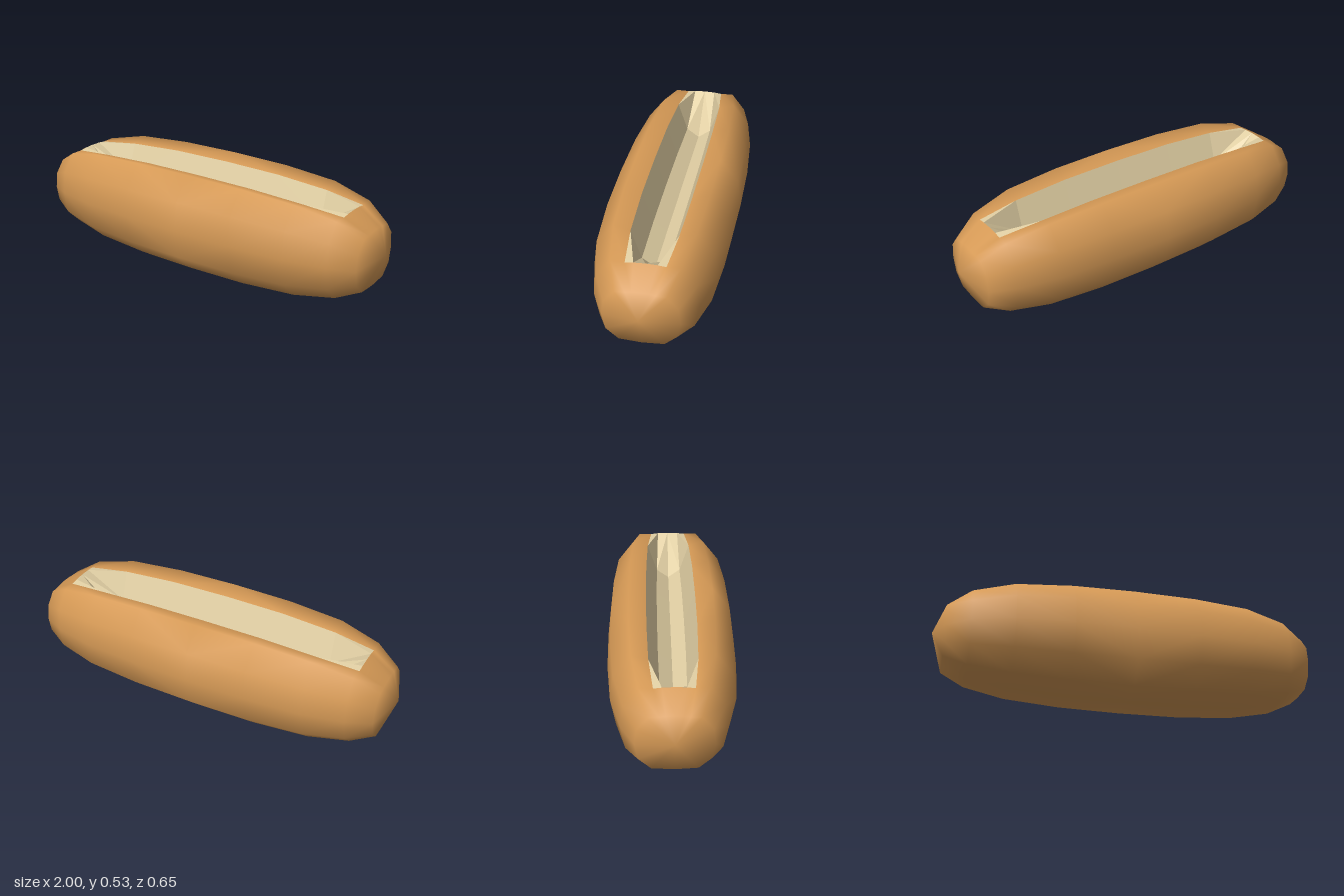
import * as THREE from 'three';

// Half cross-section as [z, y]: lip of the slit, round the side, down to the keel
const HALF = [[0.125, 0.505], [0.213, 0.53], [0.305, 0.412], [0.323, 0.265], [0.295, 0.112], [0.19, 0.013]];
const SLIT = [[-0.07, 0.34], [0, 0.29], [0.07, 0.34]];
const MID_Y = 0.265;

// Stations along half the length: x, width scale, height scale, centre height
const STATIONS = [
  [0, 1, 1, MID_Y], [0.32, 0.985, 0.985, MID_Y], [0.61, 0.92, 0.92, MID_Y],
  [0.82, 0.76, 0.77, 0.26], [0.94, 0.56, 0.53, 0.25],
];
const TIP = [1, 0.285, 0];

const mirror = (pts) => pts.map(([z, y]) => [-z, y]).reverse();

// Ring of points; near the ends the slit closes into a gentle crown
function section([x, w, h, cy]) {
  const scale = ([z, y]) => [z * w, cy + (y - MID_Y) * h];
  const half = HALF.map(scale);
  let slit = SLIT.map(scale);
  if (x > 0.8) {
    const top = x > 0.9 ? 0.4 : 0.47;
    half[0][1] = top - 0.007;
    const gz = 0.073 * w;
    slit = [[-gz, top - 0.002], [0, top], [gz, top - 0.002]];
  }
  return [...half, scale([0, 0]), ...mirror(half), ...slit];
}

function surface(positions, index, material, name) {
  const geometry = new THREE.BufferGeometry();
  geometry.setAttribute('position', new THREE.Float32BufferAttribute(positions, 3));
  geometry.setIndex(index);
  geometry.computeVertexNormals();
  const mesh = new THREE.Mesh(geometry, material);
  mesh.name = name;
  return mesh;
}

export function createModel() {
  const crust = new THREE.MeshStandardMaterial({ color: 0xd59955, side: THREE.DoubleSide });
  crust.name = 'golden crust';
  const crumb = new THREE.MeshStandardMaterial({ color: 0xe2d0a4, side: THREE.DoubleSide, flatShading: true });
  crumb.name = 'cream crumb';

  // Rings from -x to +x
  const stations = [
    ...STATIONS.slice(1).reverse().map(([x, ...rest]) => ({ x: -x, ring: section([x, ...rest]) })),
    ...STATIONS.map((s) => ({ x: s[0], ring: section(s) })),
  ];
  const n = stations[0].ring.length;
  const firstSlit = n - SLIT.length - 1;
  const positions = stations.flatMap(({ x, ring }) => ring.flatMap(([z, y]) => [x, y, z]));
  const outer = [], inner = [];

  for (let i = 0; i < stations.length - 1; i++) {
    const midX = (stations[i].x + stations[i + 1].x) / 2;
    for (let j = 0; j < n; j++) {
      const k = (j + 1) % n;
      const a = i * n + j, b = i * n + k, c = a + n, d = b + n;
      const midZ = stations[i].ring[j][0] + stations[i].ring[k][0];
      const target = j >= firstSlit && Math.abs(midX) < 0.82 ? inner : outer;
      // Diagonals mirror across both axes
      if (midX * midZ > 0) target.push(a, b, c, b, d, c);
      else target.push(a, b, d, a, d, c);
    }
  }

  // Pointed end fans
  const leftTip = stations.length * n, last = (stations.length - 1) * n;
  positions.push(-TIP[0], TIP[1], TIP[2], ...TIP);
  for (let j = 0; j < n; j++) {
    const k = (j + 1) % n;
    outer.push(leftTip, k, j, leftTip + 1, last + j, last + k);
  }

  const group = new THREE.Group();
  group.name = 'slicedBun';
  group.add(surface(positions, outer, crust, 'crust'), surface(positions, inner, crumb, 'slit'));
  return group;
}
